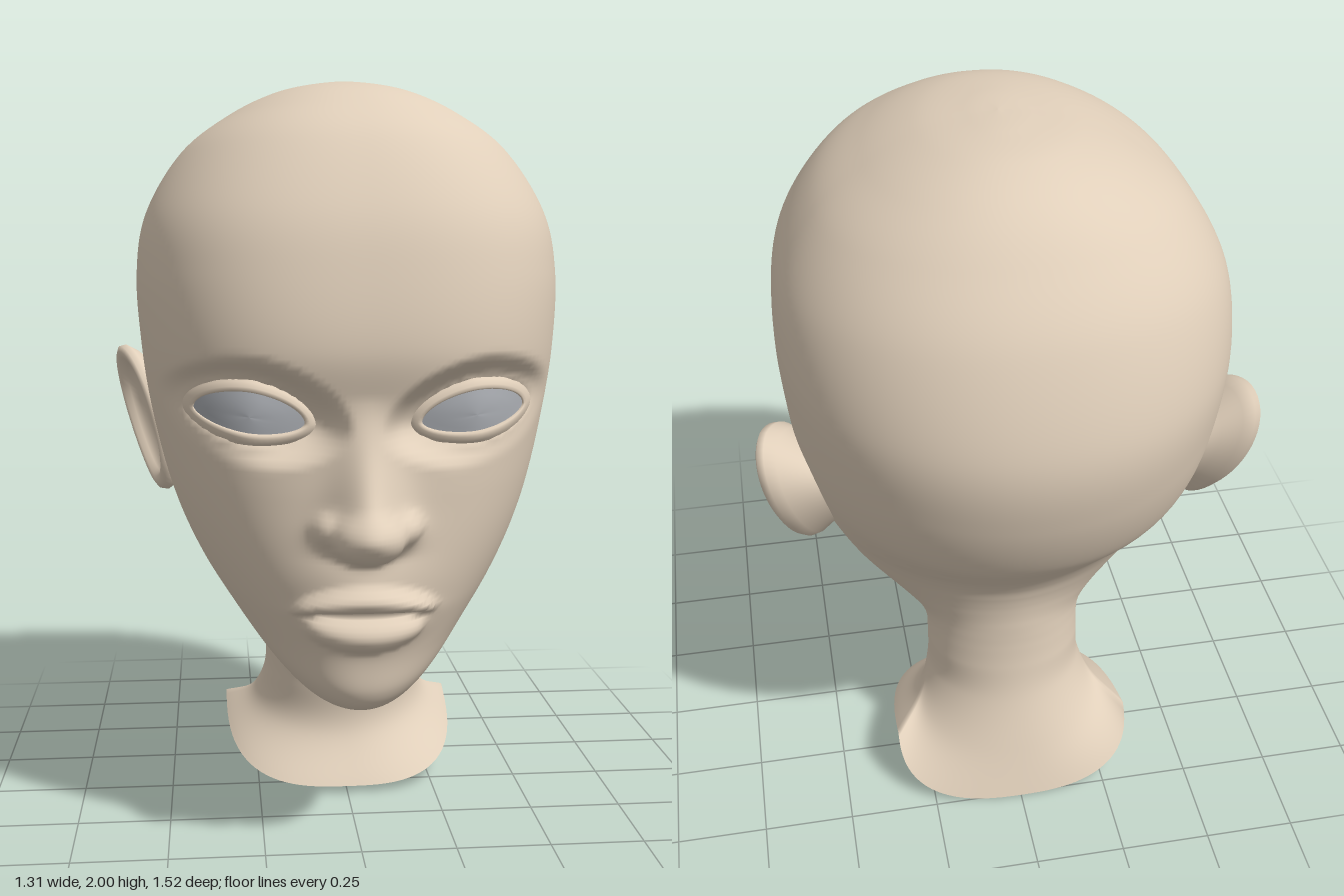
import * as THREE from 'three';

const V = (a) => new THREE.Vector3(...a);
const smooth = THREE.MathUtils.smoothstep;

// Skull-to-collar rings, top to bottom, each tilted through a front, side and back point.
const FRONT = [ // roundness, y, z
  [2.1, 2, -0.1], [2.1, 1.995, 0.03], [2.2, 1.97, 0.19], [2.3, 1.92, 0.31], [2.4, 1.83, 0.435], [2.6, 1.66, 0.55],
  [2.7, 1.5, 0.605], [2.75, 1.31, 0.632], [2.8, 1.14, 0.6], [2.75, 0.95, 0.6], [2.62, 0.8, 0.6], [2.45, 0.66, 0.59],
  [2.25, 0.53, 0.567], [2.1, 0.44, 0.555], [2, 0.39, 0.515], [2, 0.375, 0.445], [2, 0.39, 0.35], [2, 0.415, 0.25],
  [2, 0.44, 0.09], [2, 0.4, 0.04], [2, 0.28, 0.01], [2.1, 0.15, 0.01], [2.9, 0.02, 0.1],
];
const SIDE = [ // half width, y, z
  [0, 2, -0.1], [0.08, 1.992, -0.1], [0.2, 1.965, -0.1], [0.33, 1.9, -0.12], [0.455, 1.8, -0.14], [0.55, 1.64, -0.15],
  [0.577, 1.475, -0.15], [0.567, 1.29, -0.15], [0.545, 1.13, -0.15], [0.508, 0.97, -0.14], [0.468, 0.85, -0.13], [0.418, 0.745, -0.125],
  [0.362, 0.66, -0.12], [0.316, 0.6, -0.12], [0.282, 0.56, -0.125], [0.257, 0.53, -0.13], [0.239, 0.505, -0.14], [0.226, 0.48, -0.16],
  [0.22, 0.45, -0.18], [0.22, 0.4, -0.19], [0.225, 0.3, -0.2], [0.26, 0.22, -0.26], [0.34, 0.17, -0.36],
];
const BACK = [ // roundness, y, z
  [2.1, 2, -0.1], [2.1, 1.996, -0.22], [2.1, 1.978, -0.35], [2.1, 1.925, -0.47], [2.1, 1.83, -0.57], [2.12, 1.67, -0.68],
  [2.12, 1.42, -0.755], [2.1, 1.21, -0.73], [2.08, 1.02, -0.65], [2, 0.89, -0.54], [1.88, 0.8, -0.46], [1.8, 0.735, -0.418],
  [1.78, 0.69, -0.402], [1.8, 0.655, -0.394], [1.85, 0.625, -0.39], [1.9, 0.595, -0.388], [1.95, 0.565, -0.388], [2, 0.53, -0.388],
  [2, 0.49, -0.389], [2, 0.42, -0.394], [2, 0.31, -0.41], [2.2, 0.15, -0.46], [2.6, 0, -0.51],
];

// Surface through rows of closed loops
function loft(rows) {
  const n = rows[0].length, index = [];
  for (let i = 0; i < rows.length - 1; i++) {
    for (let j = 0; j < n; j++) {
      const k = (j + 1) % n, a = i * n + j, b = i * n + k, c = a + n, d = b + n;
      index.push(a, c, b, b, c, d);
    }
  }
  const g = new THREE.BufferGeometry();
  g.setAttribute('position', new THREE.Float32BufferAttribute(rows.flat(2), 3));
  g.setIndex(index);
  g.computeVertexNormals();
  return g;
}

// Almond eye opening, grown outward by a margin: shared by the socket, the eye and the lids
const EYE = { x: 0.282, y: 1.145, w: 0.137, up: 0.062, down: 0.04, tilt: 0.12, pow: 1.8 };
const eyeZ = (x, y) =>
  0.535 - (x > 0.25 ? 4 : 1.2) * (x - 0.25) ** 2 - (y > 1.15 ? 2.5 : 1.2) * (y - 1.15) ** 2;

function eyeDistance(x, y, grow) {
  const dx = x - EYE.x, dy = y - EYE.y - EYE.tilt * dx;
  const u = Math.abs(dx) / (EYE.w + grow);
  const v = Math.abs(dy) / ((dy > 0 ? EYE.up : EYE.down) + grow);
  return (u ** EYE.pow + v ** EYE.pow) ** (1 / EYE.pow);
}

function eyeLoop(scale, grow, offset, side) {
  return Array.from({ length: 56 }, (_, j) => {
    const t = (j / 56) * Math.PI * 2, c = Math.cos(t), s = Math.sin(t);
    const dx = (EYE.w + grow) * scale * Math.sign(c) * Math.abs(c) ** (2 / EYE.pow);
    const v = scale * Math.sign(s) * Math.abs(s) ** (2 / EYE.pow);
    const x = EYE.x + dx;
    const y = EYE.y + EYE.tilt * dx + v * ((v > 0 ? EYE.up : EYE.down) + grow);
    return [side * x, y, eyeZ(x, y) + offset];
  });
}

// Raise z to the front of an ellipsoid, with a soft fillet
function swell(z, x, y, soft, [cx, cy, cz, rx, ry, rz]) {
  const q = Math.hypot((x - cx) / rx, (y - cy) / ry);
  if (q > 1.6) return z;
  const b = cz + rz * (q < 1 ? Math.sqrt(1 - q * q) : 4 * (1 - q));
  const raised = 0.5 * (z + b + Math.sqrt((z - b) ** 2 + soft ** 2));
  return THREE.MathUtils.lerp(raised, z, smooth(q, 1.1, 1.6));
}

// Facial relief: x, y on the front of the head to a new z
function face(x, y, z) {
  x = Math.abs(x);
  // muzzle and nose bridge, widening downward
  z += 0.035 * Math.exp(-((x / 0.14) ** 2) - ((y - 0.73) / 0.1) ** 2);
  const rise = THREE.MathUtils.clamp((1.2 - y) / 0.32, 0, 1);
  z += 0.14 * rise ** 1.3 * smooth(y, 0.8, 0.87) * Math.exp(-((x / (0.058 + 0.027 * rise)) ** 2));
  // nose tip and wing
  z = swell(z, x, y, 0.03, [0, 0.866, 0.65, 0.088, 0.068, 0.1]);
  z = swell(z, x, y, 0.025, [0.078, 0.88, 0.595, 0.058, 0.046, 0.075]);
  // upper lip arched down and lower lip arched up to the corners
  const arch = Math.min(x, 0.2) ** 2;
  z = swell(z, x, y + arch, 0.02, [0, 0.702, 0.55, 0.18, 0.042, 0.12]);
  z = swell(z, x, y - 0.8 * arch, 0.025, [0, 0.606, 0.54, 0.15, 0.05, 0.097]);
  // line between the lips
  z -= 0.03 * Math.exp(-(((y - 0.66) / 0.01) ** 2)) * (1 - smooth(x, 0.11, 0.18));
  // eye socket
  const socket = eyeZ(x, y) - 0.03 + 0.034 * smooth(eyeDistance(x, y, 0.02), 0.8, 1.08);
  return THREE.MathUtils.lerp(z, socket, 1 - smooth(eyeDistance(x, y, 0.05), 0.8, 1.35));
}

function headGeometry() {
  const [front, side, back] = [FRONT, SIDE, BACK].map(
    (p) => new THREE.CatmullRomCurve3(p.map(V), false, 'catmullrom', 0.5));
  const rows = [], rings = 264, cols = 144;
  for (let i = 0; i <= rings; i++) {
    const t = i / rings, f = front.getPoint(t), s = side.getPoint(t), b = back.getPoint(t);
    const bend = 1.7 - 0.7 * smooth(t, 0.88, 0.97);
    const row = [];
    for (let j = 0; j < cols; j++) {
      // columns are closer together on the face
      const u = (2 * j) / cols - 1, a = Math.PI * (0.5 * u + 0.5 * u ** 3);
      const sn = Math.sin(a), cs = Math.cos(a), end = cs > 0 ? f : b;
      const r = (Math.abs(sn) ** end.x + Math.abs(cs) ** end.x) ** (-1 / end.x);
      const k = Math.abs(cs) * r;
      const x = s.x * sn * r;
      const y = s.y + (end.y - s.y) * k ** bend;
      let z = s.z + (end.z - s.z) * k;
      if (z > 0.2 && y > 0.42 && y < 1.45 && t < 0.68) z = face(x, y, z);
      row.push([x, y, z]);
    }
    rows.push(row);
  }
  return loft(rows);
}

// Ear: loops from the buried root, over the rolled rim, into the hollow; the front edge sinks into the head
function earGeometry(side) {
  const loops = [[0.52, -0.13], [0.72, -0.07], [0.92, -0.032], [1, -0.005], [0.98, 0.014], [0.91, 0.022],
    [0.82, 0.017], [0.74, 0], [0.64, -0.018], [0.42, -0.026], [0, -0.028]];
  return loft(loops.map(([scale, out]) => Array.from({ length: 48 }, (_, j) => {
    const t = (j / 48) * Math.PI * 2, sn = Math.sin(t) * scale, cs = Math.cos(t) * scale;
    const y = 1.052 + 0.208 * sn;
    const z = -0.23 - 0.13 * cs * (1 + 0.13 * Math.sin(t)) - 0.052 * sn;
    const x = 0.57 + 0.3 * (-z - 0.23) + 0.2 * (y - 1.05) - 0.015 * Math.max(0, -cs);
    return [side * (x + out * 0.95), y, z + out * 0.3];
  })));
}

export function createModel() {
  const skin = new THREE.MeshStandardMaterial({ name: 'skin', color: 0xe0cfba, side: THREE.DoubleSide });
  const eyeGrey = new THREE.MeshStandardMaterial({ name: 'eyeGrey', color: 0xa8abb0, side: THREE.DoubleSide });
  const model = new THREE.Group();
  model.name = 'headBust';
  const add = (name, geometry, material) => {
    const mesh = new THREE.Mesh(geometry, material);
    mesh.name = name;
    model.add(mesh);
  };

  add('headAndNeck', headGeometry(), skin);
  for (const [name, side] of [['left', 1], ['right', -1]]) {
    add(name + 'Ear', earGeometry(side), skin);
    const eye = [0, 0.25, 0.5, 0.75, 1.02].map((d) => eyeLoop(d, 0, 0, side));
    add(name + 'Eye', loft(eye), eyeGrey);
    const lid = [[-0.002, -0.012], [0, 0.006], [0.004, 0.011], [0.012, 0.013], [0.024, 0.009], [0.04, -0.006]];
    add(name + 'Eyelids', loft(lid.map(([grow, out]) => eyeLoop(1, grow, out, side))), skin);
  }
  return model;
}
